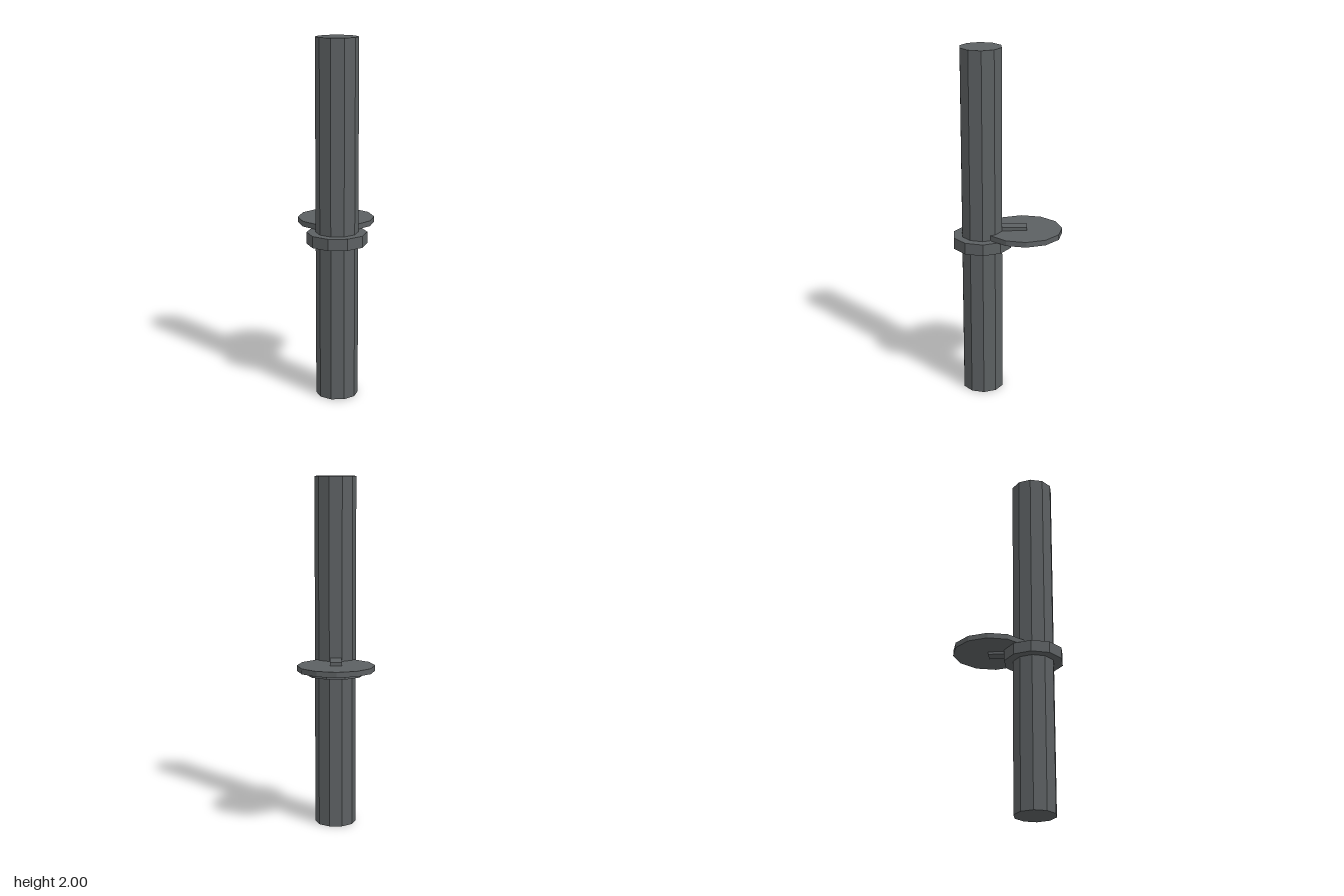
import * as THREE from 'three';

export function createModel() {
  const group = new THREE.Group();
  const darkGrey = new THREE.MeshStandardMaterial({ color: 0x5c6062 });
  darkGrey.name = 'darkGrey';

  const add = (name, geometry, y, z) => {
    const flat = geometry.toNonIndexed();
    flat.computeVertexNormals();
    const mesh = new THREE.Mesh(flat, darkGrey);
    mesh.name = name;
    mesh.position.set(0, y, z);
    group.add(mesh);
  };
  // Faceted upright prism between two heights
  const prism = (name, radius, sides, turn, y0, y1, z) =>
    add(name, new THREE.CylinderGeometry(radius, radius, y1 - y0, sides).rotateY(turn), (y0 + y1) / 2, z);

  const poleZ = 0.145;
  const decagonTurn = Math.PI / 10; // corners point sideways, flats face front and back

  prism('pole', 0.117, 10, decagonTurn, 0, 2, poleZ);
  prism('collar', 0.167, 10, decagonTurn, 0.872, 0.937, poleZ);
  prism('disc', 0.217, 12, 0, 0.937, 0.967, -0.089);

  // Bracket running from the pole through the disc centre
  add('bracket', new THREE.BoxGeometry(0.066, 0.064, 0.145), 0.954, -0.033);

  return group;
}
